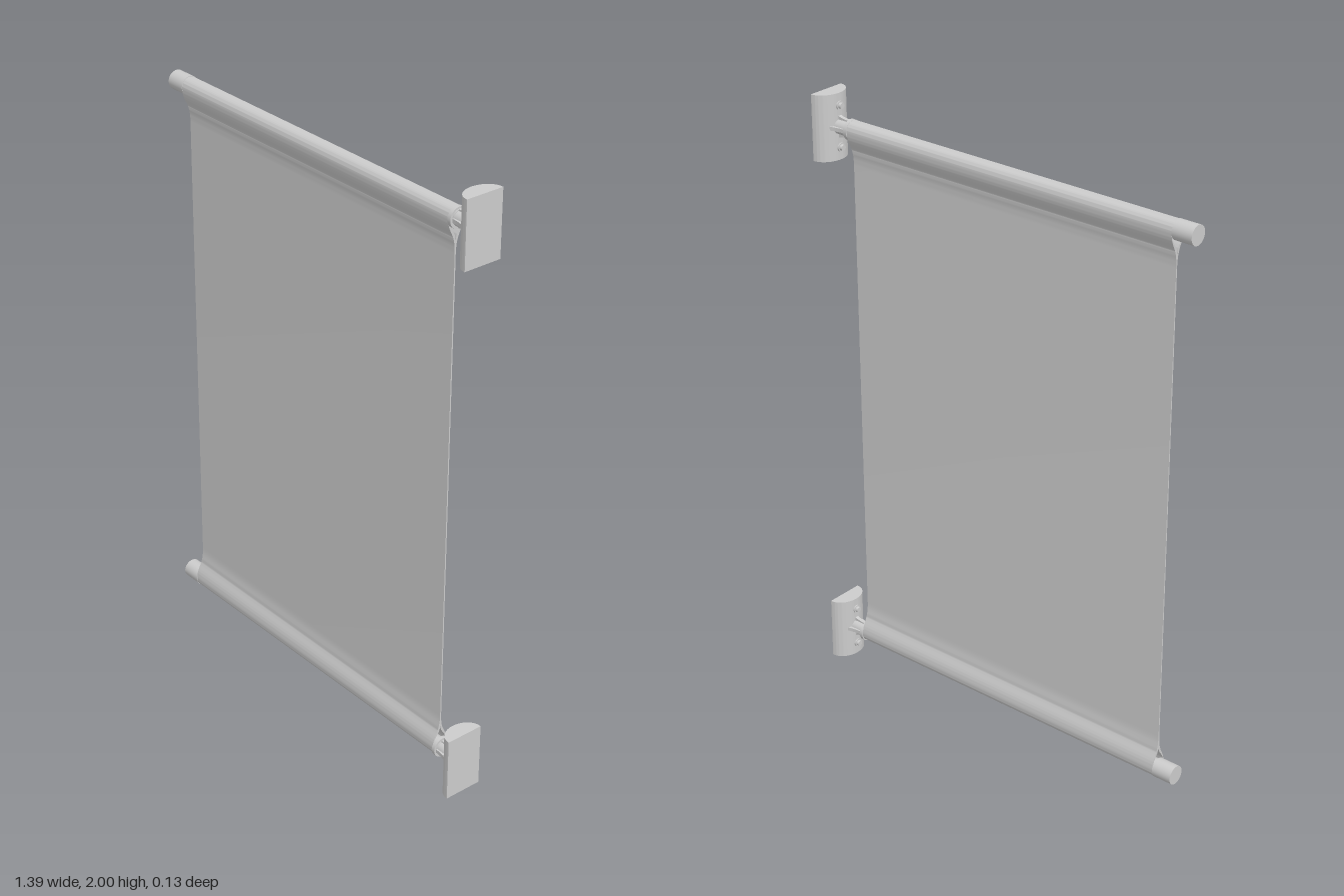
import * as THREE from 'three';
import { toCreasedNormals } from 'three/addons/utils/BufferGeometryUtils.js';

const material = new THREE.MeshStandardMaterial({ color: 0xcccccc });
const TOP = 1.896, BOTTOM = 0.107;

function add(parent, name, geometry, x = 0, y = 0, z = 0) {
  const mesh = new THREE.Mesh(geometry, material);
  mesh.name = name;
  mesh.position.set(x, y, z);
  parent.add(mesh);
  return mesh;
}

// Cylinder along x between two x positions
function rodX(parent, name, r0, r1, x0, x1, y = 0, z = 0) {
  const geo = new THREE.CylinderGeometry(r1, r0, x1 - x0, 32);
  geo.rotateZ(-Math.PI / 2);
  return add(parent, name, geo, (x0 + x1) / 2, y, z);
}

// Sheet with a teardrop sleeve at each end, drawn as a section and extruded along x
function bannerGeometry(x0, x1) {
  const r = 0.0295, t = 0.002, h = 0.115;
  const s = new THREE.Shape();
  s.moveTo(r, TOP);
  s.absarc(0, TOP, r, 0, Math.PI, false);
  s.bezierCurveTo(-r, TOP - 0.05, -t, TOP - 0.045, -t, TOP - h);
  s.lineTo(-t, BOTTOM + h);
  s.bezierCurveTo(-t, BOTTOM + 0.045, -r, BOTTOM + 0.05, -r, BOTTOM);
  s.absarc(0, BOTTOM, r, Math.PI, Math.PI * 2, false);
  s.bezierCurveTo(r, BOTTOM + 0.05, t, BOTTOM + 0.045, t, BOTTOM + h);
  s.lineTo(t, TOP - h);
  s.bezierCurveTo(t, TOP - 0.045, r, TOP - 0.05, r, TOP);
  // Hollow of each sleeve
  const q = r - 0.003;
  for (const [y, d] of [[TOP, 1], [BOTTOM, -1]]) {
    const hole = new THREE.Path();
    hole.moveTo(q, y);
    hole.absarc(0, y, q, 0, Math.PI, d < 0);
    hole.bezierCurveTo(-q, y - d * 0.045, -0.002, y - d * 0.04, 0, y - d * 0.075);
    hole.bezierCurveTo(0.002, y - d * 0.04, q, y - d * 0.045, q, y);
    s.holes.push(hole);
  }
  const geo = new THREE.ExtrudeGeometry(s, { depth: x1 - x0, bevelEnabled: false, curveSegments: 20 });
  geo.rotateY(Math.PI / 2);
  geo.translate(x0, 0, 0);
  return toCreasedNormals(geo, 0.6);
}

// Wall plate: flat on the outside, rounded towards the banner
function plateGeometry(height) {
  const s = new THREE.Shape();
  s.moveTo(0.695, -0.065);
  s.lineTo(0.695, 0.065);
  s.absellipse(0.692, 0, 0.052, 0.065, Math.PI / 2, Math.PI * 1.5, false);
  s.closePath();
  const geo = new THREE.ExtrudeGeometry(s, { depth: height, bevelEnabled: false, curveSegments: 32 });
  geo.rotateX(-Math.PI / 2);
  geo.translate(0, -height / 2, 0);
  return toCreasedNormals(geo, 0.6);
}

// Concave rib flaring from the socket to the plate
function ribGeometry(reach, xEnd) {
  const s = new THREE.Shape();
  s.moveTo(0.6, 0.015);
  s.lineTo(xEnd, 0.015);
  s.lineTo(xEnd, reach);
  s.quadraticCurveTo(0.636, 0.029, 0.6, 0.028);
  s.closePath();
  const geo = new THREE.ExtrudeGeometry(s, { depth: 0.012, bevelEnabled: false, curveSegments: 10 });
  geo.translate(0, 0, -0.006);
  return toCreasedNormals(geo, 0.6);
}

function bracket(y) {
  const g = new THREE.Group();
  g.name = 'wallBracket';
  g.position.y = y;
  add(g, 'wallPlate', plateGeometry(0.213));
  rodX(g, 'socket', 0.024, 0.024, 0.59, 0.66);
  rodX(g, 'socketCollar', 0.033, 0.033, 0.585, 0.597);
  for (let i = 0; i < 4; i++) {
    const side = i % 2 === 1;
    const rib = add(g, 'rib', side ? ribGeometry(0.043, 0.665) : ribGeometry(0.04, 0.648));
    rib.rotation.x = i * Math.PI / 2;
  }
  // Fixing screws above and below the socket
  for (const d of [-1, 1]) {
    rodX(g, 'screwWasher', 0.014, 0.014, 0.636, 0.646, d * 0.067);
    rodX(g, 'screwHead', 0.009, 0.01, 0.628, 0.638, d * 0.067);
  }
  return g;
}

export function createModel() {
  const model = new THREE.Group();
  model.name = 'hangingBanner';
  add(model, 'bannerSheet', bannerGeometry(-0.63, 0.585));
  for (const y of [BOTTOM, TOP]) {
    rodX(model, 'rod', 0.025, 0.025, -0.66, 0.6, y);
    rodX(model, 'rodEndCap', 0.031, 0.031, -0.698, -0.63, y);
  }
  model.add(bracket(0.1065), bracket(1.8935));
  return model;
}
